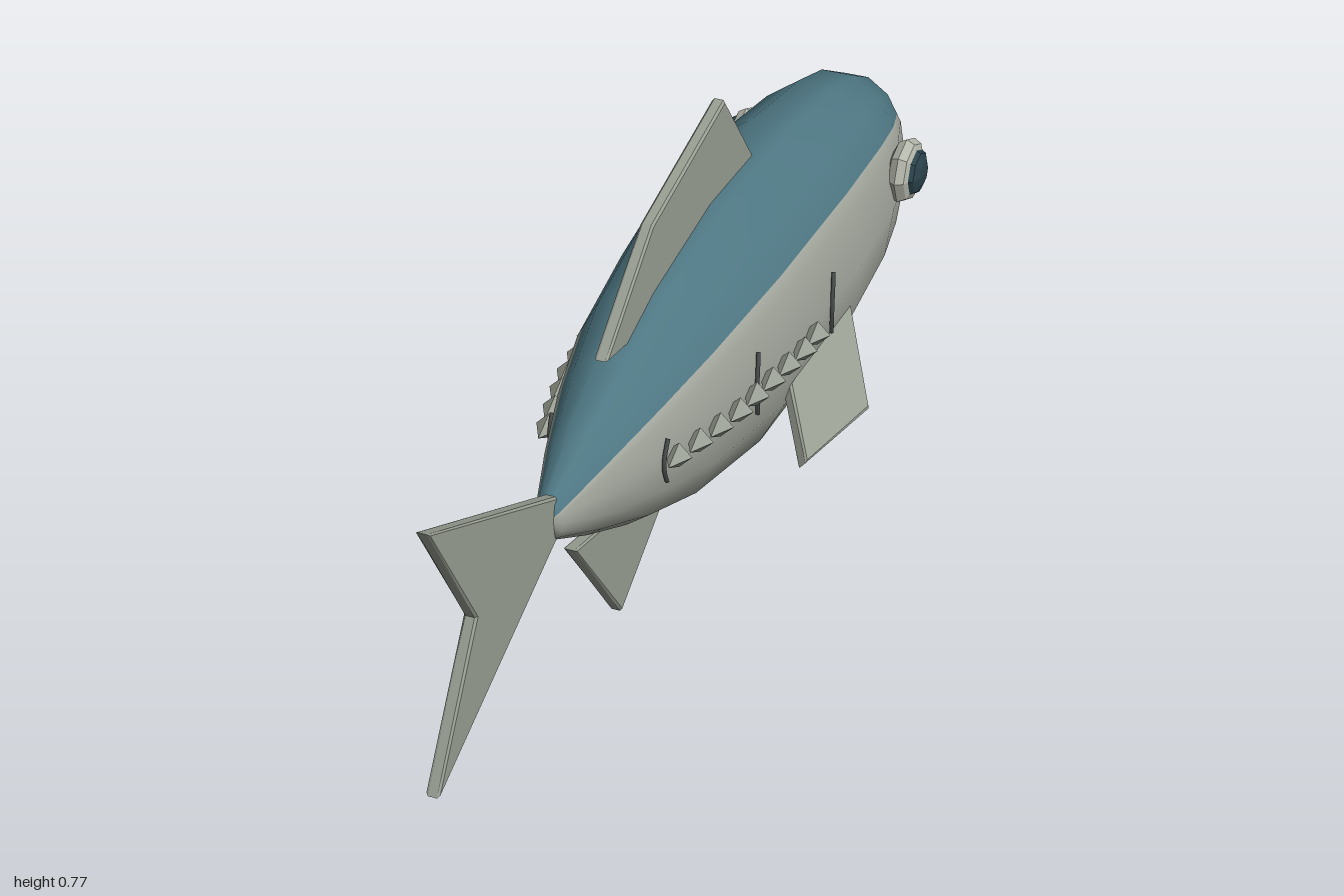
import * as THREE from 'three';

const mat = (name, color, extra = {}) => {
  const m = new THREE.MeshStandardMaterial({ color, ...extra });
  m.name = name;
  return m;
};

// Body stations along z: [z, vertical radius]
const PROFILE = [
  [-0.972, 0], [-0.968, 0.016], [-0.867, 0.149], [-0.757, 0.208], [-0.65, 0.236], [-0.435, 0.262],
  [-0.11, 0.262], [0.14, 0.217], [0.29, 0.165], [0.43, 0.101], [0.55, 0.038], [0.56, 0],
];
const MID_Y = 0.347, ASPECT = 0.667;

function radiusAt(z) {
  const i = Math.max(1, PROFILE.findIndex((p) => p[0] >= z));
  const [z0, r0] = PROFILE[i - 1], [z1, r1] = PROFILE[i];
  return r0 + (r1 - r0) * (z - z0) / (z1 - z0);
}

// Half width of the body at a given height and station
function halfWidth(y, z) {
  const r = radiusAt(z);
  return ASPECT * r * Math.sqrt(Math.max(0, 1 - ((y - MID_Y) / r) ** 2));
}

// Fourteen-sided section with one extra point per flank where the back colour ends
function bodyGeometry() {
  const sec = [];
  for (let k = 0; k < 14; k++) {
    const a = (2 * k + 1) * Math.PI / 14;
    sec.push(new THREE.Vector2(Math.sin(a), Math.cos(a)));
  }
  const seamR = sec[1].clone().lerp(sec[2], 0.71);
  const seamL = new THREE.Vector2(-seamR.x, seamR.y);
  sec.splice(12, 0, seamL);
  sec.splice(2, 0, seamR);
  const n = sec.length, pos = [], back = [], belly = [];
  for (const [z, r] of PROFILE) {
    for (const p of sec) pos.push(p.x * r * ASPECT, MID_Y + p.y * r, z);
  }
  for (let i = 0; i < PROFILE.length - 1; i++) {
    for (let j = 0; j < n; j++) {
      const a = i * n + j, b = i * n + (j + 1) % n, c = a + n, d = b + n;
      (j < 2 || j > 12 ? back : belly).push(a, c, b, b, c, d);
    }
  }
  const g = new THREE.BufferGeometry();
  g.setAttribute('position', new THREE.Float32BufferAttribute(pos, 3));
  g.setIndex([...back, ...belly]);
  g.addGroup(0, back.length, 0);
  g.addGroup(back.length, belly.length, 1);
  g.computeVertexNormals();
  return g;
}

// Bevelled plate from an outline, laid on the plane spanned by u and v
function plate(points, u, v, origin = new THREE.Vector3()) {
  const bevel = 0.004, depth = 0.016;
  const g = new THREE.ExtrudeGeometry(new THREE.Shape(points.map((p) => new THREE.Vector2(...p))), {
    depth, bevelEnabled: true, bevelSize: bevel, bevelThickness: bevel, bevelOffset: -bevel, bevelSegments: 1,
  });
  g.translate(0, 0, -depth / 2);
  const w = new THREE.Vector3().crossVectors(u, v);
  g.applyMatrix4(new THREE.Matrix4().makeBasis(u, v, w).setPosition(origin));
  return g;
}

export function createModel() {
  const fish = new THREE.Group();
  fish.name = 'fish';
  const backBlue = mat('back blue', 0x4e7783);
  const silver = mat('belly silver', 0xa6aaa0);
  const finGrey = mat('fin grey', 0x989e92, { flatShading: true });
  const eyePale = mat('eye pale', 0xb3b6aa, { flatShading: true });
  const dark = mat('dark slate', 0x2a424b, { flatShading: true });
  const lineDark = mat('line grey', 0x4a504e);

  const add = (name, geometry, material, parent = fish) => {
    const m = new THREE.Mesh(geometry, material);
    m.name = name;
    parent.add(m);
    return m;
  };

  add('body', bodyGeometry(), [backBlue, silver]);

  // Upright fins, outlined as [z, y]
  const Z = new THREE.Vector3(0, 0, 1), Y = new THREE.Vector3(0, 1, 0);
  const fins = {
    tailFin: [[0.52, 0.38], [1, 0.597], [0.847, 0.347], [1, 0.1], [0.52, 0.318]],
    dorsalFin: [[0.335, 0.53], [0.14, 0.688], [-0.175, 0.772], [-0.315, 0.59], [-0.1, 0.56], [0.2, 0.51]],
    analFin: [[0.47, 0.24], [0.283, 0], [0.07, 0.135], [0.1, 0.17]],
  };
  for (const [name, outline] of Object.entries(fins)) add(name, plate(outline, Z, Y), finGrey);

  // Mouth at the nose tip
  const mouth = add('mouth', new THREE.SphereGeometry(1, 8, 6), dark);
  mouth.scale.set(0.037, 0.019, 0.016);
  mouth.position.set(0, 0.314, -0.984);

  for (const s of [1, -1]) {
    const side = new THREE.Group();
    side.name = s > 0 ? 'leftSide' : 'rightSide';
    fish.add(side);

    // Pectoral fin, sloping outward and down
    const out = new THREE.Vector3(s * 0.77, -0.638, 0).normalize();
    const outline = [[0.015, -0.44], [0.172, -0.235], [0.138, 0.01], [0.03, -0.12]];
    add('pectoralFin', plate(outline, out, Z, new THREE.Vector3(s * 0.13, 0.281, 0)), finGrey, side);

    // Eye and pupil, poles facing sideways
    const ball = (name, x, half, r, material) => {
      const g = new THREE.SphereGeometry(1, 8, 6);
      g.rotateZ(Math.PI / 2);
      g.scale(half, r, r);
      add(name, g, material, side).position.set(s * x, 0.404, -0.703);
    };
    ball('eye', 0.16, 0.03, 0.064, eyePale);
    ball('pupil', 0.178, 0.02, 0.046, dark);

    // Gill line and two flank lines following the body
    for (const [name, z, y0, y1] of [['gillLine', -0.295, 0.28, 0.405],
      ['middleFlankLine', 0.02, 0.285, 0.41], ['rearFlankLine', 0.3, 0.3, 0.385]]) {
      const pts = [];
      for (let i = 0; i <= 6; i++) {
        const t = i / 6, y = y0 + (y1 - y0) * t, zz = z + 0.014 * Math.sin(Math.PI * t);
        pts.push(new THREE.Vector3(s * (halfWidth(y, zz) + 0.002), y, zz));
      }
      add(name, new THREE.TubeGeometry(new THREE.CatmullRomCurve3(pts), 12, 0.004, 5), lineDark, side);
    }

    // Row of pointed scutes aimed at the tail
    for (let i = 0; i < 9; i++) {
      const z = -0.155 + i * 0.0577;
      const g = new THREE.ConeGeometry(0.024, 0.045, 4);
      g.rotateX(Math.PI / 2);
      add('scute', g, finGrey, side).position.set(s * (halfWidth(MID_Y, z) + 0.014), 0.347, z);
    }
  }
  return fish;
}
